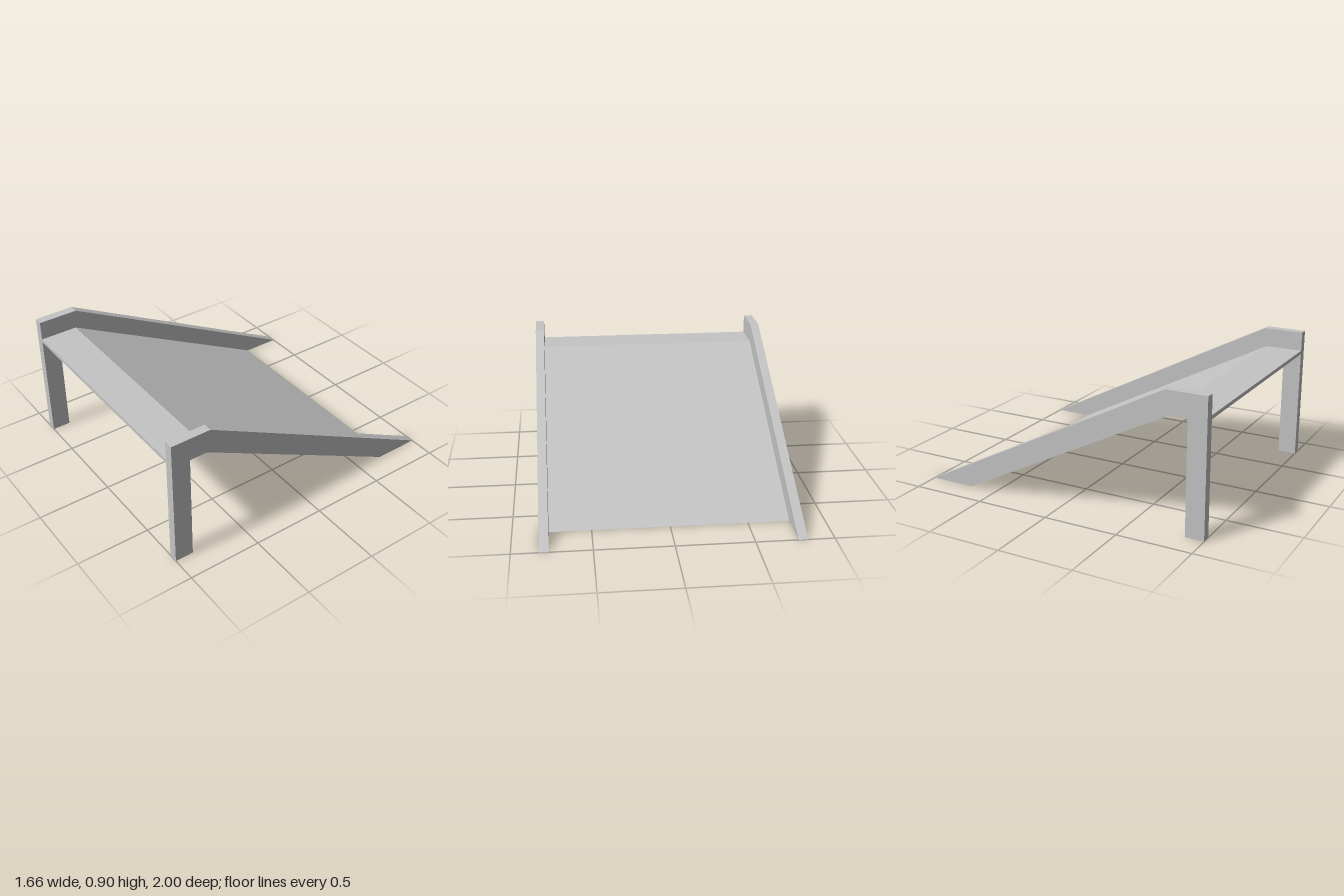
import * as THREE from 'three';

const grey = new THREE.MeshStandardMaterial({ color: 0xc4c4c4, side: THREE.DoubleSide });
grey.name = 'grey';

// Extrudes a [z, y] side profile along x, centred, leaving the ground end open
function profileSlab(points, width) {
  const shape = new THREE.Shape(points.map(([z, y]) => new THREE.Vector2(z, y)));
  const geo = new THREE.ExtrudeGeometry(shape, { depth: width, bevelEnabled: false })
    .translate(0, 0, -width / 2)
    .rotateY(-Math.PI / 2)
    .toNonIndexed();
  const p = geo.attributes.position;
  const kept = [];
  for (let i = 0; i < p.count; i += 3) {
    const onGround = [0, 1, 2].every((k) => Math.abs(p.getY(i + k)) < 1e-5);
    if (onGround) continue;
    for (let k = 0; k < 3; k++) kept.push(p.getX(i + k), p.getY(i + k), p.getZ(i + k));
  }
  const open = new THREE.BufferGeometry();
  open.setAttribute('position', new THREE.Float32BufferAttribute(kept, 3));
  open.computeVertexNormals();
  return open;
}

export function createModel() {
  const model = new THREE.Group();
  model.name = 'ramp';

  // Side frames: front leg, short level top and sloping rail in one piece
  const frame = profileSlab([
    [1, 0], [1, 0.9], [0.73, 0.9], [-1, 0],
    [-0.69, 0], [0.755, 0.745], [0.875, 0.745], [0.875, 0],
  ], 0.06);
  for (const side of [-1, 1]) {
    const mesh = new THREE.Mesh(frame, grey);
    mesh.name = side > 0 ? 'leftFrame' : 'rightFrame';
    mesh.position.x = side * 0.8;
    model.add(mesh);
  }

  // Thin deck between the frames: level landing, then slope to the ground
  const deck = new THREE.Mesh(profileSlab([
    [1, 0.745], [1, 0.77], [0.745, 0.77], [-0.738, 0],
    [-0.69, 0], [0.755, 0.745],
  ], 1.54), grey);
  deck.name = 'deck';
  model.add(deck);

  return model;
}
